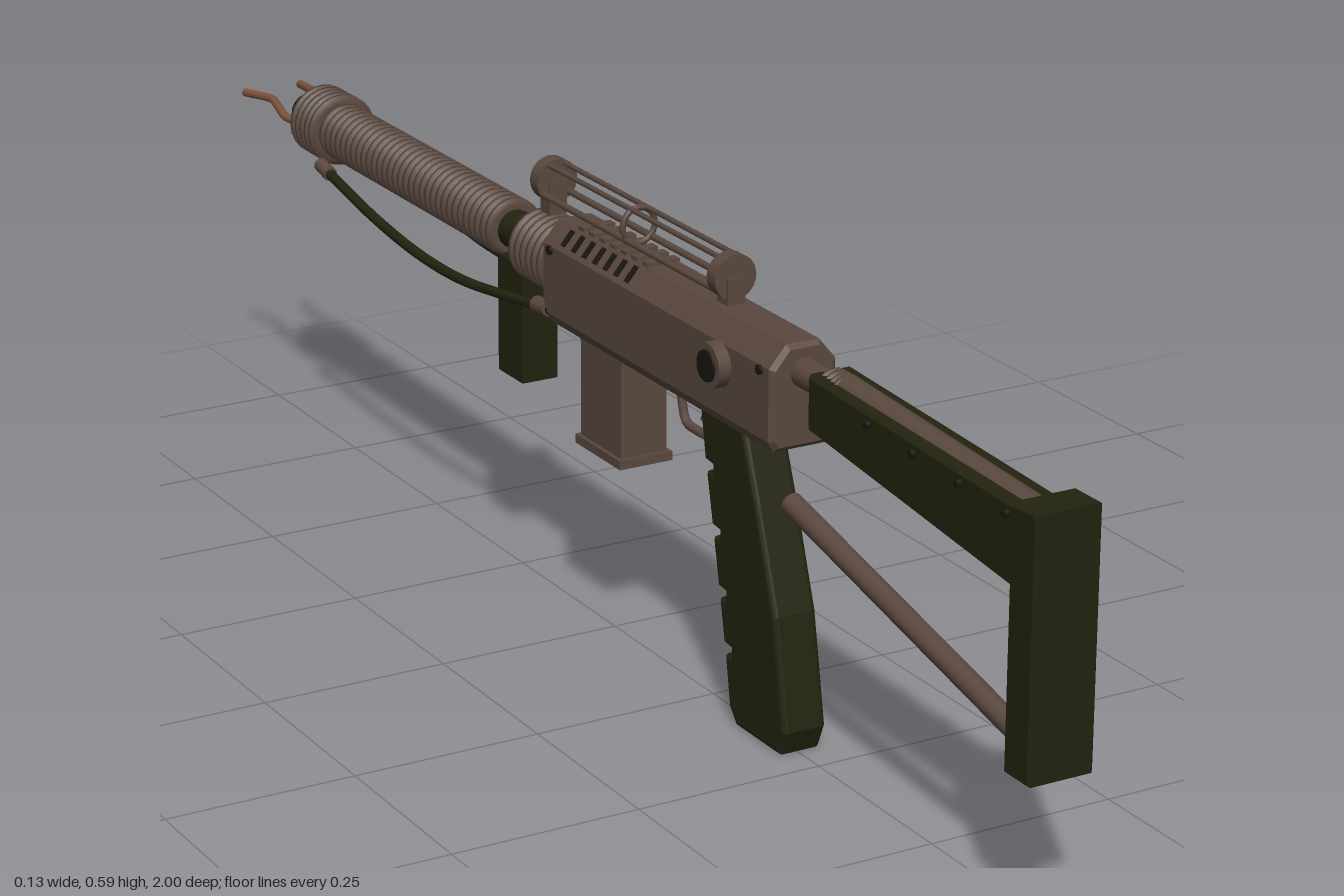
import * as THREE from 'three';

const material = (name, color, side = THREE.FrontSide) => {
  const m = new THREE.MeshStandardMaterial({ color, side });
  m.name = name;
  return m;
};

export function createModel() {
  const brown = material('brown metal', 0x5a483f);
  const green = material('dark olive', 0x23230f);
  const copper = material('copper', 0x80543c);
  const dark = material('dark bore', 0x1a1612);

  const model = new THREE.Group();
  model.name = 'rifle';
  const body = new THREE.Group();
  body.name = 'body';
  body.position.x = 0.003;
  model.add(body);

  const V = (x, y, z) => new THREE.Vector3(x, y, z);
  const add = (name, geo, mat, x = 0, y = 0, z = 0) => {
    const m = new THREE.Mesh(geo, mat);
    m.name = name;
    m.position.set(x, y, z);
    body.add(m);
    return m;
  };
  const box = (name, mat, w, h, d, x, y, z) => add(name, new THREE.BoxGeometry(w, h, d), mat, x, y, z);
  // Cylinder between two points
  const rod = (name, mat, a, b, r, sides = 16) => {
    const m = add(name, new THREE.CylinderGeometry(r, r, a.distanceTo(b), sides), mat);
    m.position.copy(a).lerp(b, 0.5);
    m.quaternion.setFromUnitVectors(V(0, 1, 0), b.clone().sub(a).normalize());
    return m;
  };
  const toShape = (pts) => new THREE.Shape(pts.map((p) => new THREE.Vector2(...p)));
  // Side outline in (z, y), extruded across x and centred on x
  const sideGeo = (shape, width, bevel, segments = 1) => {
    const g = new THREE.ExtrudeGeometry(shape, {
      depth: width - 2 * bevel, bevelEnabled: bevel > 0, bevelSize: bevel, bevelThickness: bevel, bevelSegments: segments,
    });
    g.translate(0, 0, -(width - 2 * bevel) / 2);
    g.rotateY(-Math.PI / 2);
    return g;
  };
  // Ribbed sleeve around the barrel, running toward -z
  const barrelY = 0.47;
  const ribs = (name, zStart, zEnd, outer, inner, count, y = barrelY) => {
    const step = (zStart - zEnd) / count;
    const pts = [new THREE.Vector2(0.001, 0)];
    for (let i = 0; i < count; i++) {
      for (const [r, t] of [[inner, 0], [outer, 0.15], [outer, 0.6], [inner, 0.75]]) {
        pts.push(new THREE.Vector2(r, (i + t) * step));
      }
    }
    pts.push(new THREE.Vector2(inner, zStart - zEnd), new THREE.Vector2(0.001, zStart - zEnd));
    const g = new THREE.LatheGeometry(pts, 24);
    g.rotateX(-Math.PI / 2);
    return add(name, g, brown, 0, y, zStart);
  };

  // Receiver with chamfered roof
  const receiver = new THREE.ExtrudeGeometry(toShape([
    [-0.035, 0.406], [0.035, 0.406], [0.04, 0.415], [0.04, 0.503],
    [0.02, 0.527], [-0.02, 0.527], [-0.04, 0.503], [-0.04, 0.415],
  ]), { depth: 0.553, bevelSize: 0.006, bevelThickness: 0.006, bevelSegments: 1 });
  add('receiver', receiver, brown, 0, 0, -0.109);
  for (let i = 0; i < 7; i++) {
    box('topVentRib', brown, 0.046, 0.008, 0.014, 0, 0.534, 0.11 - i * 0.027);
    for (const s of [-1, 1]) {
      const slot = box('ventSlot', dark, 0.024, 0.004, 0.009, s * 0.034, 0.52, 0.097 - i * 0.027);
      slot.rotation.z = -s * 0.876;
    }
  }
  for (const s of [-1, 1]) {
    for (const z of [0.425, -0.09]) {
      rod('receiverScrew', dark, V(s * 0.044, 0.5, z), V(s * 0.05, 0.5, z), 0.006, 10);
    }
  }

  // Raised port frame on the left side
  const frame = toShape([[0, 0.45], [0.245, 0.45], [0.245, 0.505], [0, 0.505]]);
  for (const [a, b] of [[0.01, 0.075], [0.087, 0.185], [0.197, 0.235]]) {
    frame.holes.push(new THREE.Path([[a, 0.458], [a, 0.497], [b, 0.497], [b, 0.458]].map((p) => new THREE.Vector2(...p))));
  }
  add('portFrame', sideGeo(frame, 0.01, 0), brown, 0.049, 0, 0);

  // Dial on the right side
  rod('dial', brown, V(-0.044, 0.478, 0.33), V(-0.063, 0.478, 0.33), 0.029, 24);
  rod('dialCap', dark, V(-0.062, 0.478, 0.33), V(-0.066, 0.478, 0.33), 0.02, 24);

  // Sight: end discs, stems, rails and middle ring
  for (const z of [0.28, -0.165]) {
    rod('sightDisc', brown, V(0, 0.567, z - 0.01), V(0, 0.567, z + 0.01), 0.029, 28);
    box('sightStem', brown, 0.025, 0.045, 0.026, 0, 0.545, z);
  }
  for (const s of [-1, 1]) {
    rod('upperSightRail', brown, V(s * 0.011, 0.589, 0.28), V(s * 0.011, 0.589, -0.165), 0.0035, 8);
    rod('lowerSightRail', brown, V(s * 0.018, 0.55, 0.28), V(s * 0.018, 0.55, -0.165), 0.0045, 8);
  }
  add('sightRing', new THREE.TorusGeometry(0.023, 0.004, 8, 24), brown, 0, 0.567, 0.055);

  // Barrel core, ribbed sleeves and muzzle
  rod('barrel', green, V(0, barrelY, -0.1), V(0, barrelY, -0.885), 0.026, 20);
  rod('bore', dark, V(0, barrelY, -0.884), V(0, barrelY, -0.887), 0.014, 16);
  ribs('rearSleeve', -0.115, -0.205, 0.049, 0.04, 6);
  ribs('barrelSleeve', -0.27, -0.775, 0.04, 0.032, 32);
  ribs('muzzleSleeve', -0.775, -0.845, 0.05, 0.04, 5);

  // Copper prongs and side hoses, mirrored
  for (const s of [-1, 1]) {
    const prong = new THREE.CatmullRomCurve3([
      V(s * 0.04, 0.472, -0.835), V(s * 0.044, 0.473, -0.87), V(s * 0.034, 0.481, -0.93), V(s * 0.043, 0.474, -0.998),
    ], false, 'catmullrom', 0.2);
    add('prong', new THREE.TubeGeometry(prong, 16, 0.006, 8), copper);
    rod('prongTip', copper, V(s * 0.0426, 0.4744, -0.994), V(s * 0.043, 0.474, -1), 0.006, 8);
    const hose = new THREE.CatmullRomCurve3([
      V(s * 0.04, 0.416, -0.1), V(s * 0.047, 0.405, -0.2), V(s * 0.05, 0.391, -0.33),
      V(s * 0.05, 0.391, -0.45), V(s * 0.05, 0.405, -0.58), V(s * 0.05, 0.433, -0.73),
    ]);
    add('hose', new THREE.TubeGeometry(hose, 36, 0.007, 8), green);
    rod('hoseEnd', brown, V(s * 0.05, 0.43, -0.715), V(s * 0.05, 0.437, -0.745), 0.01, 12);
    rod('hoseSocket', brown, V(s * 0.04, 0.416, -0.105), V(s * 0.042, 0.414, -0.135), 0.011, 12);
  }

  // Foregrip
  box('foregrip', green, 0.052, 0.16, 0.066, 0, 0.36, -0.237);

  // Magazine and its base plate
  box('magazine', brown, 0.066, 0.155, 0.104, 0, 0.338, 0.017);
  box('magazineBase', brown, 0.076, 0.012, 0.116, 0, 0.26, 0.017);

  // Pistol grip with finger grooves along its front edge
  const grip = [[0.345, 0.415], [0.385, 0.31], [0.43, 0.18], [0.456, 0.04], [0.445, 0.014], [0.352, 0.014], [0.338, 0.03]];
  const edge = (y) => 0.34 - 0.08 * Math.pow((y - 0.02) / 0.38, 1.1);
  for (const y of [0.1, 0.17, 0.245, 0.325]) {
    grip.push([edge(y - 0.013), y - 0.013], [edge(y) + 0.016, y - 0.011], [edge(y) + 0.016, y + 0.011], [edge(y + 0.013), y + 0.013]);
  }
  grip.push([0.26, 0.415]);
  add('pistolGrip', sideGeo(toShape(grip), 0.06, 0.007, 3), green);

  // Trigger and guard
  const guard = new THREE.CatmullRomCurve3([
    V(0, 0.345, 0.265), V(0, 0.342, 0.2), V(0, 0.345, 0.175), V(0, 0.365, 0.165), V(0, 0.405, 0.16),
  ]);
  add('triggerGuard', new THREE.TubeGeometry(guard, 20, 0.006, 8), brown);
  const trigger = new THREE.CatmullRomCurve3([V(0, 0.41, 0.235), V(0, 0.385, 0.232), V(0, 0.362, 0.218)]);
  add('trigger', new THREE.TubeGeometry(trigger, 10, 0.005, 8), brown);

  // Stock: butt plate, upper arm, inlaid tube, connector and lower strut
  add('buttPlate', sideGeo(toShape([[0.953, 0.19], [0.997, 0.19], [0.997, 0.507], [0.953, 0.507]]), 0.088, 0.003), green);
  add('stockArm', sideGeo(toShape([[0.957, 0.403], [0.957, 0.494], [0.51, 0.512], [0.51, 0.45]]), 0.062, 0.004), green);
  rod('stockTube', brown, V(0, 0.482, 0.945), V(0, 0.502, 0.54), 0.021, 20);
  ribs('stockCollar', 0.55, 0.51, 0.026, 0.021, 4, 0.496);
  rod('stockConnector', brown, V(0, 0.496, 0.52), V(0, 0.496, 0.44), 0.019, 16);
  rod('stockStrut', brown, V(0, 0.203, 0.957), V(0, 0.322, 0.425), 0.014, 16);
  for (const s of [-1, 1]) {
    for (const z of [0.64, 0.735, 0.83, 0.925]) {
      const y = 0.485 + (0.95 - z) * 0.04;
      rod('stockScrew', dark, V(s * 0.028, y, z), V(s * 0.037, y, z), 0.005, 8);
    }
  }
  return model;
}
